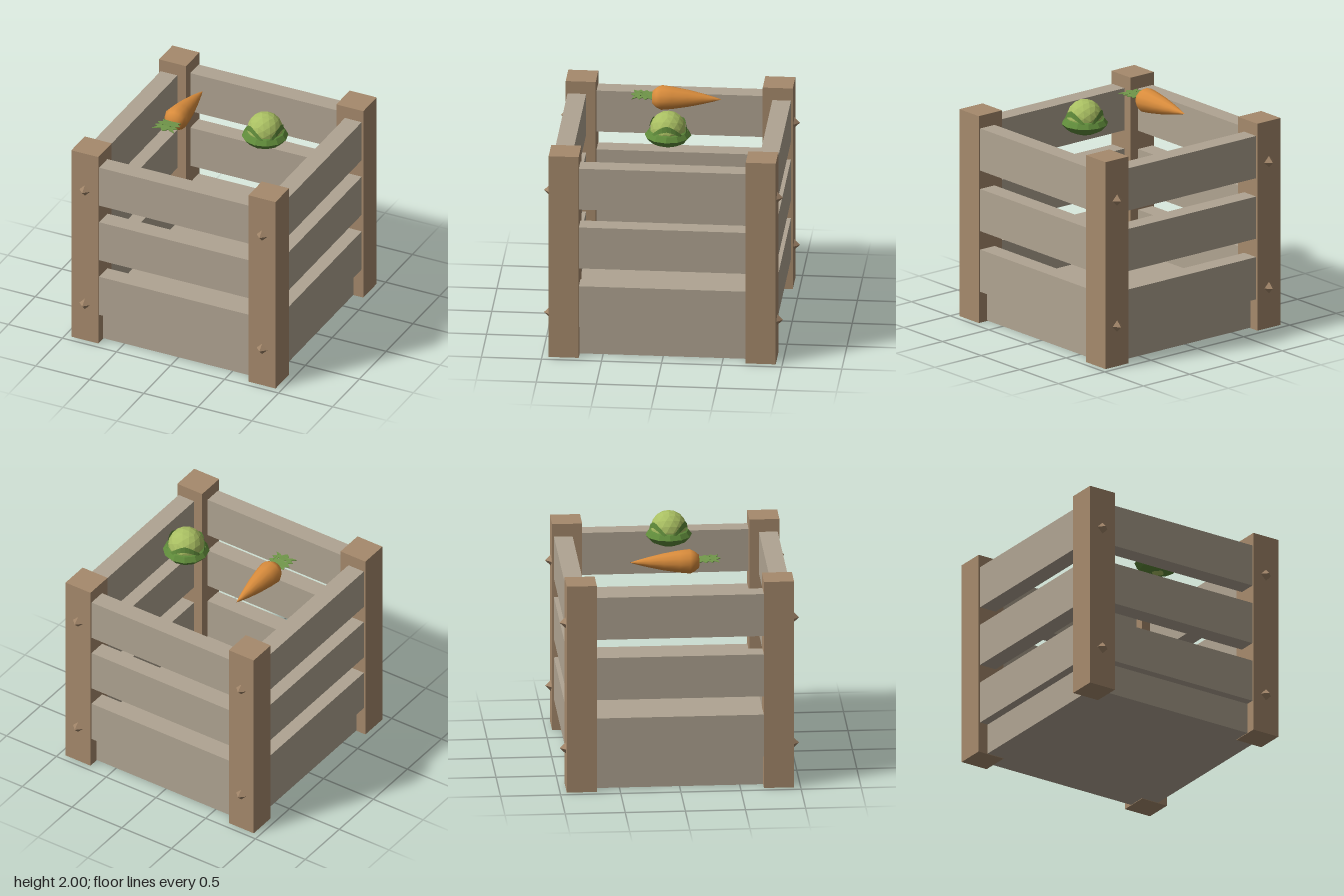
import * as THREE from 'three';

const mat = (name, color, extra = {}) => {
  const m = new THREE.MeshStandardMaterial({ color, ...extra });
  m.name = name;
  return m;
};

function add(parent, name, geometry, material, x = 0, y = 0, z = 0) {
  const mesh = new THREE.Mesh(geometry, material);
  mesh.name = name;
  mesh.position.set(x, y, z);
  parent.add(mesh);
  return mesh;
}

const points = list => list.map(([x, y]) => new THREE.Vector2(x, y));

// A thin arched leaf edge wrapped around the cabbage heart
function leafArch(steps = 8) {
  const pos = [], index = [];
  for (let i = 0; i <= steps; i++) {
    const t = i / steps * 2 - 1, a = t * 1.0;
    const rise = 1 - Math.abs(t) ** 1.6;
    const top = 0.105 + 0.11 * rise, low = top - 0.05 * (0.4 + 0.6 * rise);
    for (const [y, r] of [[low, 0.172 - 0.02 * rise], [top, 0.166 - 0.022 * rise]])
      pos.push(r * Math.cos(a), y, -r * Math.sin(a));
    if (i) {
      const k = i * 2;
      index.push(k - 2, k, k - 1, k, k + 1, k - 1);
    }
  }
  const g = new THREE.BufferGeometry();
  g.setAttribute('position', new THREE.Float32BufferAttribute(pos, 3));
  g.setIndex(index);
  g.computeVertexNormals();
  return g;
}

export function createModel() {
  const model = new THREE.Group();
  model.name = 'vegetableCrate';

  const plank = mat('weathered plank', 0xb0a492);
  const postWood = mat('post wood', 0xa68a6c);
  const bolt = mat('bolt', 0xa08468, { flatShading: true });
  const orange = mat('carrot orange', 0xd98c3c);
  const topGreen = mat('carrot leaf green', 0x71974a, { side: THREE.DoubleSide });
  const leafGreen = mat('outer leaf green', 0x5f8a3a, { flatShading: true, side: THREE.DoubleSide });
  const heartGreen = mat('cabbage heart green', 0xa9bf62, { flatShading: true });

  // Corner posts with bolts on their front and back faces
  const postGeo = new THREE.BoxGeometry(0.25, 1.8, 0.25);
  const boltGeo = new THREE.OctahedronGeometry(0.05);
  for (const sx of [-1, 1]) for (const sz of [-1, 1]) {
    add(model, 'cornerPost', postGeo, postWood, sx * 0.82, 0.9, sz * 0.82);
    for (const y of [0.35, 1.445]) add(model, 'bolt', boltGeo, bolt, sx * 0.82, y, sz * 0.945);
  }

  // Thick floor, set back under the slats
  add(model, 'floor', new THREE.BoxGeometry(1.71, 0.267, 1.71), plank, 0, 0.1375, 0);

  // Three slats on each of the four sides
  const slatGeo = new THREE.BoxGeometry(1.5, 0.367, 0.155);
  for (let side = 0; side < 4; side++) {
    const wall = new THREE.Group();
    wall.name = 'slatWall';
    wall.rotation.y = side * Math.PI / 2;
    for (const y of [0.453, 0.98, 1.507]) add(wall, 'slat', slatGeo, plank, 0, y, 0.8525);
    model.add(wall);
  }

  // Carrot lying along z with its tip to the back
  const carrot = new THREE.Group();
  carrot.name = 'carrot';
  carrot.position.set(-0.385, 1.81, 0);
  const root = new THREE.LatheGeometry(points([
    [0, -0.38], [0.02, -0.315], [0.045, -0.22], [0.072, -0.1], [0.094, 0.03],
    [0.104, 0.12], [0.085, 0.16], [0.055, 0.195], [0, 0.2]]), 12);
  root.rotateX(Math.PI / 2);
  add(carrot, 'carrotRoot', root, orange);

  // Flat jagged carrot top, mirrored about its middle
  const half = [[0.085, 0.195], [0.068, 0.225], [0.103, 0.25], [0.066, 0.275], [0.103, 0.3],
    [0.07, 0.32], [0.102, 0.36], [0.06, 0.352], [0.035, 0.335], [0.02, 0.36]];
  const outline = [...half, [0, 0.375], ...half.map(([x, z]) => [-x, z]).reverse()];
  const leaf = new THREE.Shape(points(outline));
  for (const x of [-0.035, 0.035])
    leaf.holes.push(new THREE.Path().absarc(x, 0.29, 0.009, 0, Math.PI * 2, true));
  const leafGeo = new THREE.ExtrudeGeometry(leaf, { depth: 0.006, bevelEnabled: false, curveSegments: 3 });
  leafGeo.rotateX(Math.PI / 2);
  const p = leafGeo.attributes.position;
  for (let i = 0; i < p.count; i++) // gentle bend along the leaf
    p.setY(i, p.getY(i) + 0.02 + 0.006 * Math.sin((p.getZ(i) - 0.2) * 14) - 0.4 * p.getX(i) ** 2);
  leafGeo.computeVertexNormals();
  add(carrot, 'carrotLeaves', leafGeo, topGreen);
  model.add(carrot);

  // Cabbage: faceted heart, outer leaf bowl and three arched leaf edges
  const cabbage = new THREE.Group();
  cabbage.name = 'cabbage';
  cabbage.position.set(0.38, 1.71, 0);
  add(cabbage, 'cabbageHeart', new THREE.IcosahedronGeometry(0.15, 2), heartGreen, 0, 0.14, 0);
  const bowl = new THREE.LatheGeometry(points([
    [0, 0], [0.08, 0.003], [0.15, 0.035], [0.194, 0.085], [0.165, 0.125], [0.14, 0.135]]), 12);
  add(cabbage, 'outerLeaves', bowl, leafGreen);
  const arch = leafArch();
  for (let i = 0; i < 3; i++)
    add(cabbage, 'leafEdge', arch, leafGreen).rotation.y = i * Math.PI * 2 / 3;
  model.add(cabbage);

  return model;
}
